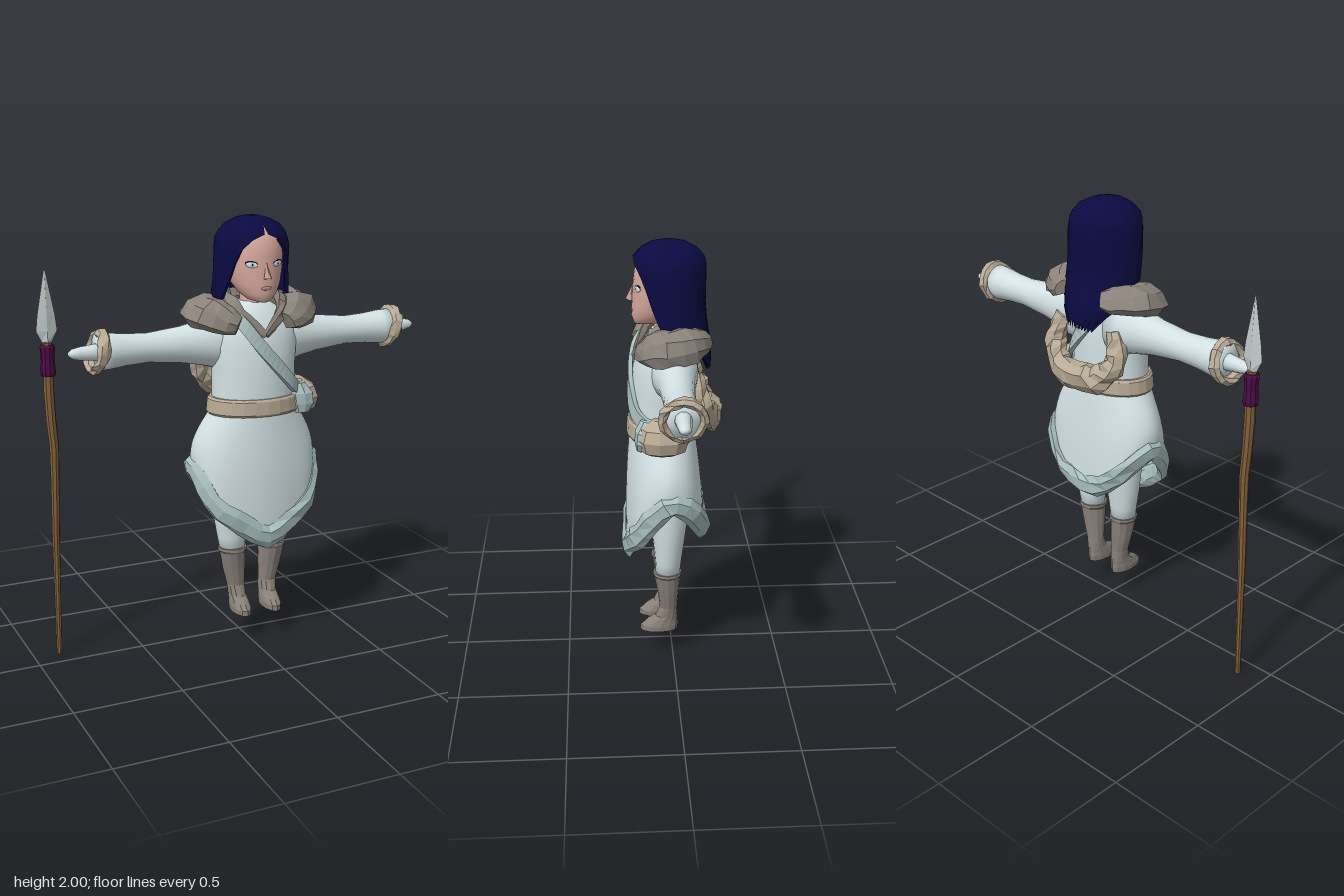
import * as THREE from 'three';

const V = (x, y, z) => new THREE.Vector3(x, y, z);
const mat = (name, color, side = THREE.FrontSide) => {
  const m = new THREE.MeshStandardMaterial({ color, side });
  m.name = name;
  return m;
};

// Surface through rings of points; each ring runs counter-clockwise about the direction of travel
function loft(rings, { wrap = true, loop = false, caps = true, flat = false } = {}) {
  const n = rings[0].length, pos = [], idx = [];
  rings.forEach(r => r.forEach(p => pos.push(p.x, p.y, p.z)));
  const rows = loop ? rings.length : rings.length - 1, cols = wrap ? n : n - 1;
  for (let i = 0; i < rows; i++) for (let j = 0; j < cols; j++) {
    const k = ((i + 1) % rings.length) * n, a = i * n + j, b = i * n + (j + 1) % n;
    const c = k + (j + 1) % n, d = k + j;
    idx.push(a, b, c, a, c, d);
  }
  if (caps && !loop && wrap) [0, rings.length - 1].forEach((row, end) => {
    const c = rings[row].reduce((s, p) => s.add(p), V(0, 0, 0)).divideScalar(n);
    const ci = pos.length / 3;
    pos.push(c.x, c.y, c.z);
    for (let j = 0; j < n; j++) {
      const a = row * n + j, b = row * n + (j + 1) % n;
      if (end) idx.push(ci, a, b); else idx.push(ci, b, a);
    }
  });
  let g = new THREE.BufferGeometry();
  g.setAttribute('position', new THREE.Float32BufferAttribute(pos, 3));
  g.setIndex(idx);
  if (flat) g = g.toNonIndexed();
  g.computeVertexNormals();
  return g;
}

// Stack of ellipses, rows of [y, rx, rz, cx, cz]
const stack = (rows, sides = 20, opts) => loft(rows.map(([y, rx, rz, cx = 0, cz = 0]) =>
  Array.from({ length: sides }, (_, j) => {
    const a = j / sides * Math.PI * 2;
    return V(cx + rx * Math.sin(a), y, cz + rz * Math.cos(a));
  })), opts);

// Elliptical section swept along a curve; size(t) gives [outward, sideways] radii, rough adds lumps
function sweep(curve, seg, sides, size, out, { loop = false, rough = 0, flat = true } = {}) {
  let seed = 7;
  const rnd = () => ((seed = (seed * 16807) % 2147483647) / 2147483647 - 0.5) * 2;
  const rings = [];
  for (let i = 0; i < (loop ? seg : seg + 1); i++) {
    const t = i / seg, p = curve.getPoint(t), T = curve.getTangent(t);
    const N = out(p).clone();
    N.addScaledVector(T, -N.dot(T)).normalize();
    const B = T.clone().cross(N), [rn, rb] = size(t);
    rings.push(Array.from({ length: sides }, (_, j) => {
      const a = (j + 0.5) / sides * Math.PI * 2, k = 1 + rough * rnd();
      return p.clone().addScaledVector(N, Math.cos(a) * rn * k).addScaledVector(B, Math.sin(a) * rb * k);
    }));
  }
  return loft(rings, { loop, flat });
}

const path = (pts, closed = false) => new THREE.CatmullRomCurve3(pts.map(p => V(...p)), closed);
// Adds the x-mirrored half to a list of points that starts (and may end) on the centre line
const mirrored = pts => pts.concat(pts.slice(1, -1).reverse().map(([x, y, z]) => [-x, y, z]));
const radial = p => V(p.x, 0, p.z);

export function createModel() {
  const cloth = mat('cloth', 0xd2e1e3, THREE.DoubleSide), trim = mat('trim', 0xa9bfbf);
  const fur = mat('grey fur', 0x8a827a), tan = mat('tan leather', 0xb8aa95);
  const hairMat = mat('hair', 0x0a0a42, THREE.DoubleSide), skin = mat('skin', 0xd6a89c);
  const wood = mat('wood', 0x82613a), purple = mat('purple wrap', 0x4d0c45);
  const steel = mat('steel', 0xc3cccb), lipMat = mat('lips', 0xc08c84);

  const model = new THREE.Group(), body = new THREE.Group();
  body.name = 'body';
  body.position.x = 0.055;
  model.add(body);
  const add = (name, geo, m, parent = body) => {
    const mesh = new THREE.Mesh(geo, m);
    mesh.name = name;
    parent.add(mesh);
    return mesh;
  };

  // Torso and belt
  add('torso', stack([[1.08, .205, .145, 0, .045], [1.2, .203, .145, 0, .045], [1.32, .2, .145, 0, .04],
    [1.43, .21, .135, 0, .04], [1.52, .19, .115, 0, .035], [1.58, .13, .085, 0, .02], [1.62, .07, .055, 0, .02]], 28), cloth);
  add('belt', stack([[1.11, .222, .158, 0, .045], [1.12, .23, .164, 0, .045], [1.18, .224, .16, 0, .045],
    [1.19, .215, .152, 0, .045]], 24, { flat: true }), tan);

  // Skirt hangs from the waist to a hem that dips at the front and back
  const hem = path(mirrored([[0, .535, .212], [.12, .605, .2], [.23, .685, .165], [.285, .8, .09],
    [.3, .862, .015], [.268, .82, -.07], [.15, .685, -.135], [0, .64, -.145]]), true);
  const skirtRows = [];
  for (let i = 0; i <= 10; i++) {
    const t = 1 - i / 10;
    skirtRows.push(Array.from({ length: 56 }, (_, j) => {
      const u = j / 56, a = u * Math.PI * 2, h = hem.getPoint(u);
      const k = 1 + .06 * Math.sin(Math.PI * t);
      const p = V(.207 * Math.sin(a), 1.13, .045 + .15 * Math.cos(a)).lerp(h, t);
      return V(p.x * (k + .08 * Math.sin(Math.PI * t)), p.y, .03 + (p.z - .03) * k);
    }));
  }
  add('skirt', loft(skirtRows, { caps: false }), cloth);
  add('skirtTrim', sweep(hem, 30, 6, () => [.028, .052], radial, { loop: true, rough: .16 }), trim);

  // Legs, boots, arms, cuffs and hands
  for (const s of [-1, 1]) {
    const side = s > 0 ? 'left' : 'right';
    add(side + 'Leg', stack([[.42, .058, .056, s * .102, .025], [.5, .07, .062, s * .105, .022], [.6, .085, .073, s * .106, .02],
      [.72, .095, .09, s * .105, .02], [.85, .1, .1, s * .1, .02], [1.05, .1, .1, s * .09, .03]], 18), cloth);
    add(side + 'Boot', stack([[.125, .043, .088, s * .079, .066], [.15, .045, .09, s * .079, .064], [.175, .043, .074, s * .079, .05],
      [.2, .041, .053, s * .08, .03], [.25, .044, .042, s * .083, .02], [.33, .055, .05, s * .093, .022],
      [.42, .063, .062, s * .102, .026], [.43, .07, .068, s * .102, .026], [.445, .069, .067, s * .102, .026],
      [.446, .05, .05, s * .102, .026]], 12, { flat: true }), fur);

    const arm = new THREE.Group();
    arm.name = side + 'Arm';
    arm.position.set(0, 1.435, -.003);
    arm.rotation.z = -s * Math.PI / 2;
    body.add(arm);
    add('sleeve', stack([[.1, .13, .11], [.17, .128, .105], [.21, .112, .098], [.26, .1, .09], [.34, .084, .078],
      [.5, .066, .068], [.6, .071, .07], [.68, .08, .08], [.74, .083, .084]], 20), cloth, arm);
    const ring = path([...Array(8)].map((_, i) => {
      const a = i / 8 * Math.PI * 2;
      return [.082 * Math.sin(a), .735 - s * .02 * Math.sin(a) * s, .085 * Math.cos(a)];
    }), true);
    add('furCuff', sweep(ring, 16, 6, () => [.02, .028], radial, { loop: true, rough: .25 }), tan, arm);
    add('hand', stack([[.72, .042, .04], [.76, .036, .034], [.82, .029, .029], [.85, .022, .026], [.867, .009, .014]], 10), cloth, arm);

    // Fur pad on the shoulder
    const pad = path([[s * .12, 1.53, .145], [s * .2, 1.565, .09], [s * .235, 1.58, 0], [s * .2, 1.59, -.08], [s * .12, 1.59, -.14]]);
    add(side + 'ShoulderFur', sweep(pad, 9, 8, t => {
      const k = .45 + .55 * Math.sin(Math.PI * t);
      return [.098 * k, .068 * k];
    }, () => V(s, -.45, 0), { rough: .16 }), fur);
  }

  // Collar from the breast, round the neck
  const half = [[.115, 1.575, .1], [.13, 1.61, .02], [.09, 1.61, -.07]];
  add('furCollar', sweep(path([[0, 1.48, .175], ...half, [0, 1.6, -.09], ...half.map(([x, y, z]) => [-x, y, z]).reverse(),
    [0, 1.48, .175]]), 28, 6, t => {
    const k = .25 + .75 * Math.min(1, 6 * Math.min(t, 1 - t));
    return [.028 * k, .055 * k];
  }, p => V(p.x, .02, p.z + .02), { rough: .15 }), fur);

  // Fur garland across the back
  add('backFur', sweep(path([[.16, 1.44, -.1], [.195, 1.32, -.12], [.13, 1.225, -.16], [0, 1.2, -.175],
    [-.13, 1.225, -.16], [-.195, 1.32, -.12], [-.16, 1.44, -.1]]), 22, 7, t => {
    const k = .55 + .45 * Math.sin(Math.PI * t);
    return [.056 * k, .066 * k];
  }, () => V(0, 0, -1), { rough: .2 }), tan);

  // Shoulder strap and pouch
  add('strap', sweep(path([[-.12, 1.58, .05], [-.095, 1.53, .142], [-.03, 1.435, .182], [.06, 1.33, .188], [.15, 1.235, .16],
    [.215, 1.19, .06], [.15, 1.25, -.07], [.03, 1.4, -.11], [-.08, 1.53, -.075]], true), 40, 4, () => [.014, .04], radial, { loop: true }), trim);
  add('pouch', stack([[1.09, .04, .065, .235, .05], [1.105, .065, .1, .235, .05], [1.16, .08, .118, .235, .05],
    [1.21, .066, .1, .23, .05], [1.245, .03, .05, .215, .05]], 9, { flat: true }), tan);
  add('pouchFlap', stack([[1.1, .035, .02, .2, .15], [1.14, .06, .03, .205, .147], [1.19, .063, .04, .2, .135],
    [1.235, .04, .05, .19, .1]], 8, { flat: true }), trim);

  // Head
  add('neck', stack([[1.5, .06, .06, 0, .03], [1.68, .055, .055, 0, .02]], 16), skin);
  add('head', stack([[1.628, .025, .03, 0, .135], [1.637, .055, .07, 0, .1], [1.665, .085, .105, 0, .075], [1.71, .112, .125, 0, .053],
    [1.77, .128, .14, 0, .035], [1.83, .135, .142, 0, .028], [1.89, .135, .14, 0, .022], [1.94, .115, .115, 0, .015],
    [1.97, .06, .06, 0, .01]], 28), skin);
  const nose = new THREE.ConeGeometry(.019, .075, 4);
  nose.rotateX(-.2);
  nose.translate(0, 1.772, .179);
  add('nose', nose, skin);
  const spot = (name, m, x, y, z, sx, sy, sz, ry = 0, rz = 0) => {
    const e = add(name, new THREE.SphereGeometry(1, 14, 8), m);
    e.position.set(x, y, z);
    e.scale.set(sx, sy, sz);
    e.rotation.set(0, ry, rz);
  };
  spot('lips', lipMat, 0, 1.692, .176, .026, .009, .006);
  for (const s of [-1, 1]) {
    spot('eyeLash', hairMat, s * .063, 1.801, .153, .03, .0145, .004, s * .45, s * .1);
    spot('eye', cloth, s * .063, 1.797, .155, .028, .013, .005, s * .45, s * .1);
    spot('iris', trim, s * .062, 1.798, .1575, .011, .011, .004, s * .45);
    spot('pupil', hairMat, s * .062, 1.798, .1595, .005, .005, .003, s * .45);
  }

  // Hair: rows of [y, rx, rz, cz, face opening in degrees]
  const hairRows = [[1.43, .13, .085, -.09, 140], [1.5, .15, .105, -.07, 118], [1.56, .17, .135, -.035, 92], [1.6, .182, .15, -.012, 76],
    [1.65, .18, .155, 0, 66], [1.72, .174, .157, .008, 58], [1.8, .173, .16, .01, 48], [1.86, .172, .163, .012, 38],
    [1.905, .163, .163, .014, 23], [1.93, .152, .155, .014, 3], [1.965, .122, .125, .014, 0],
    [1.988, .075, .085, .014, 0], [2, .03, .035, .014, 0], [2, .0005, .0005, .014, 0]];
  const hairRings = (k, jag) => hairRows.map(([y, rx, rz, cz, open], i) => Array.from({ length: 41 }, (_, j) => {
    const o = open * Math.PI / 180, a = o + (2 * Math.PI - 2 * o) * j / 40, w = k * (1 + .012 * Math.cos(j * Math.PI / 2));
    return V(rx * w * Math.sin(a), y + (i === 0 ? jag * (j % 4 < 2 ? .03 : 0) : 0), cz + rz * w * Math.cos(a));
  }));
  add('hair', loft(hairRings(1, 1), { wrap: false }), hairMat);
  add('hairInner', loft(hairRings(.9, 1).slice(0, 9), { wrap: false }), hairMat);
  // Edge joining the outer and inner hair beside the face
  const outer = hairRings(1, 1).slice(0, 9), inner = hairRings(.9, 1).slice(0, 9);
  for (const j of [0, 40]) add('hairEdge', loft(outer.map((r, i) => [r[j], inner[i][j]]), { wrap: false }), hairMat);

  // Spear
  const spear = new THREE.Group();
  spear.name = 'spear';
  spear.position.set(-.88, 0, -.09);
  model.add(spear);
  add('shaft', stack([[0, .013, .013], [.3, .015, .015, .003], [.6, .018, .018, .006], [.85, .02, .02, .012], [1, .022, .022, .014],
    [1.12, .023, .023, .005], [1.25, .024, .024, 0], [1.48, .022, .022, 0]], 8, { flat: true }), wood, spear);
  add('grip', stack([[1.33, .031, .031], [1.345, .034, .034], [1.4, .03, .03], [1.46, .033, .033], [1.47, .028, .028]], 10, { flat: true }), purple, spear);
  add('blade', stack([[1.46, .018, .014], [1.485, .025, .014], [1.53, .048, .013], [1.6, .04, .012], [1.81, .001, .001]], 4, { flat: true }), steel, spear);

  return model;
}
